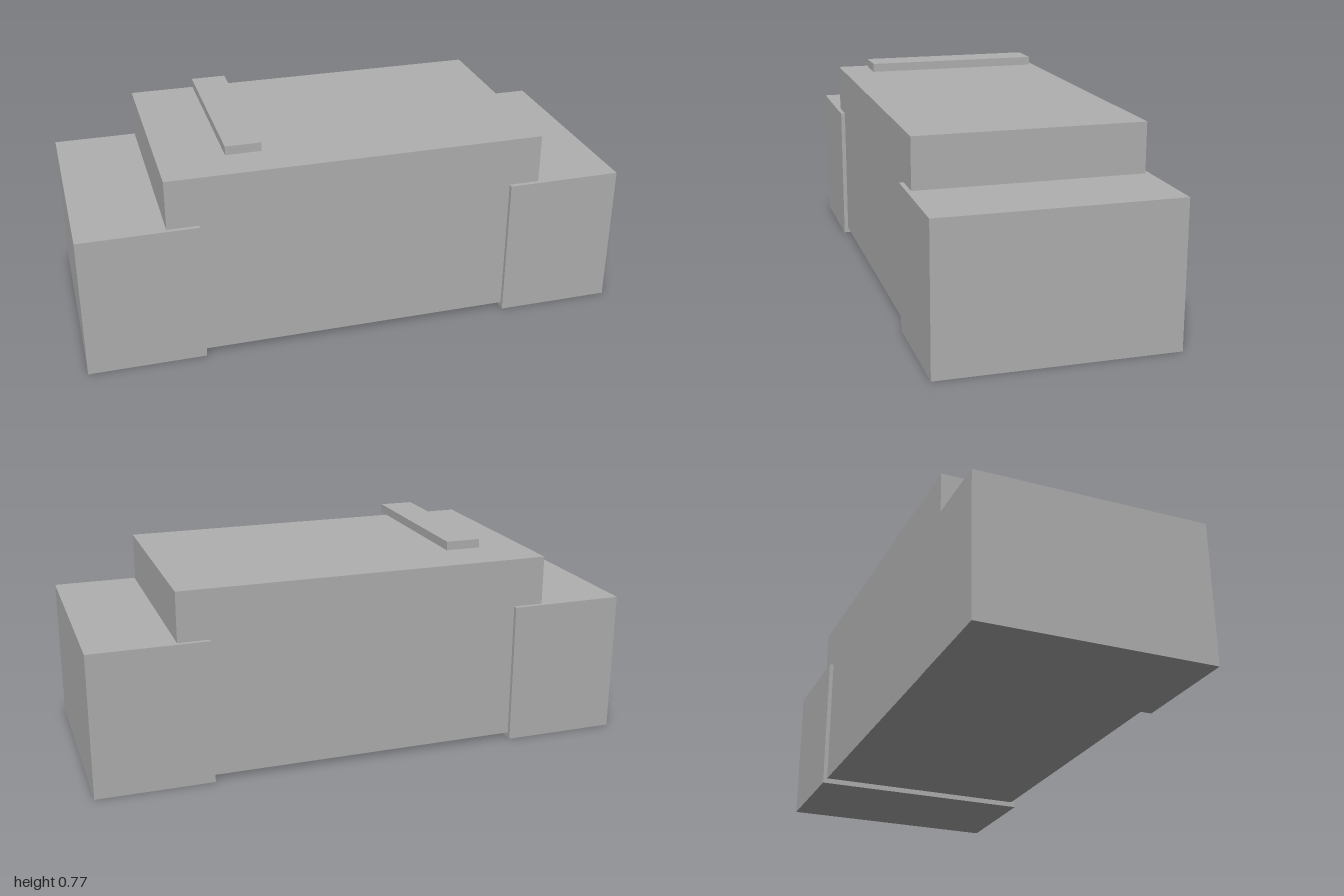
import * as THREE from 'three';

export function createModel() {
  const model = new THREE.Group();
  const grey = new THREE.MeshStandardMaterial({ color: 0xb0b0b0 });
  grey.name = 'plain grey';

  // Box given by its lower and upper x and y and its full depth, centred on z = 0
  function addBox(name, x0, x1, y0, y1, depth) {
    const mesh = new THREE.Mesh(new THREE.BoxGeometry(x1 - x0, y1 - y0, depth), grey);
    mesh.name = name;
    mesh.position.set((x0 + x1) / 2, (y0 + y1) / 2, 0);
    model.add(mesh);
  }

  // Tall central body, slightly raised off the ground
  addBox('centralBody', -0.688, 0.688, 0.02, 0.707, 0.818);

  // Lower, slightly deeper blocks overlapping both ends
  addBox('leftEndBlock', 0.575, 1, 0, 0.526, 0.85);
  addBox('rightEndBlock', -1, -0.575, 0, 0.526, 0.85);

  // Thin bar hovering above the body, towards the right end
  addBox('topBar', -0.46, -0.332, 0.741, 0.773, 0.655);

  return model;
}
